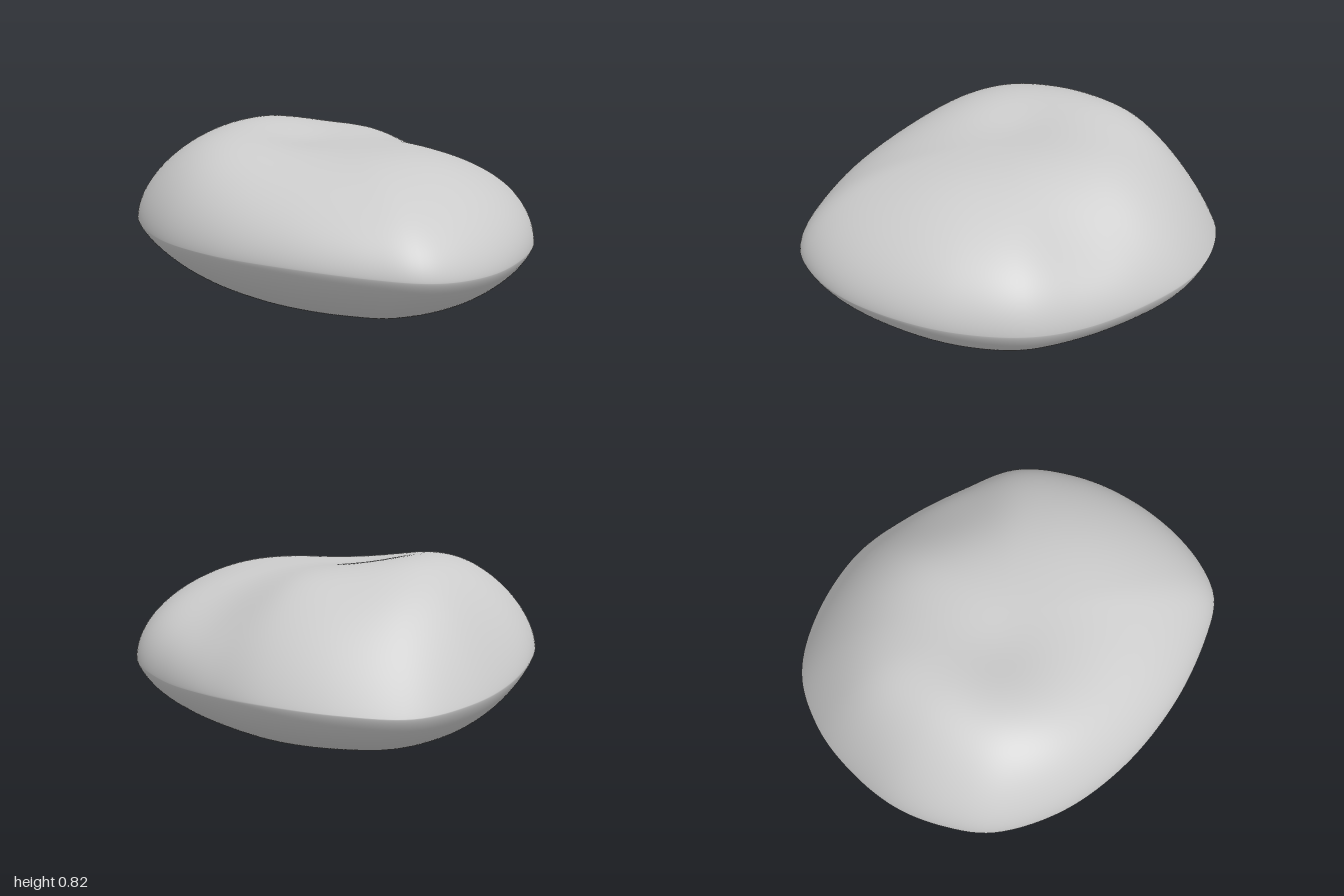
import * as THREE from 'three';
import { mergeVertices } from 'three/addons/utils/BufferGeometryUtils.js';

// Widest outline of the stone as [x, y, z], from the back round through +x
const OUTLINE = [
  [-0.1, 0.24, -1], [0.2, 0.255, -0.935], [0.5, 0.275, -0.75], [0.69, 0.275, -0.5],
  [0.835, 0.28, -0.21], [0.92, 0.315, 0.06], [0.875, 0.33, 0.35], [0.755, 0.34, 0.6],
  [0.565, 0.345, 0.825], [0.36, 0.36, 0.96], [0.2, 0.375, 1], [0, 0.385, 0.945],
  [-0.32, 0.395, 0.78], [-0.62, 0.39, 0.53], [-0.83, 0.385, 0.235], [-0.925, 0.395, -0.08],
  [-0.895, 0.4, -0.3], [-0.8, 0.37, -0.52], [-0.61, 0.305, -0.74], [-0.38, 0.265, -0.91],
];

// Blends one value per side smoothly round the stone
function bySide(x, z, { left, right, front, back }) {
  const r2 = x * x + z * z;
  return ((x > 0 ? left : right) * x * x + (z > 0 ? front : back) * z * z) / r2;
}

const TOP_POWER = { left: 2.8, right: 3.4, front: 2.8, back: 3.8 };
const TOP_ROUND = { left: 0.55, right: 0.55, front: 0.6, back: 0.95 };
const BASE_POWER = { left: 3.5, right: 2.2, front: 2.4, back: 4.8 };
const BASE_ROUND = 0.75;
const CROWN = 0.755;

// Swells and hollows of the upper face as [height, x, z, radius]
const RELIEF = [
  [0.072, -0.39, -0.34, 0.4], // main shoulder
  [0.05, -0.3, -0.66, 0.28], // back shoulder
  [0.05, -0.66, 0.1, 0.36], // right shoulder
  [0.02, 0.25, -0.42, 0.25], // back plateau
  [0.02, 0.33, 0.35, 0.3], // front plateau
  [-0.025, -0.18, -0.06, 0.2], // dimple
  [-0.065, 0.66, -0.28, 0.28], // left hollow
];
const relief = (x, z) => RELIEF.reduce((sum, [h, cx, cz, r]) =>
  sum + h * Math.exp(-((x - cx) ** 2 + (z - cz) ** 2) / (r * r)), 0);

function stoneGeometry(rings = 96, segments = 160) {
  const curve = new THREE.CatmullRomCurve3(
    OUTLINE.map((p) => new THREE.Vector3(...p)), true);
  const rim = curve.getSpacedPoints(segments).slice(0, segments);
  const positions = [];
  const index = [];

  // Rings run from the crown out to the rim, then in to the middle of the base
  for (let i = 0; i <= rings; i++) {
    const t = i === rings ? 0 : Math.sin((Math.PI * i) / rings);
    const isTop = i <= rings / 2;
    for (const p of rim) {
      const x = p.x * t, z = p.z * t;
      let y;
      if (isTop) {
        const inner = Math.max(0, 1 - t ** bySide(p.x, p.z, TOP_POWER));
        y = p.y + (CROWN - p.y) * inner ** bySide(p.x, p.z, TOP_ROUND);
        y += relief(x, z) * (1 - t ** 7);
      } else {
        const inner = Math.max(0, 1 - t ** bySide(p.x, p.z, BASE_POWER));
        y = p.y * (1 - inner ** BASE_ROUND);
      }
      positions.push(x, y, z);
    }
  }
  for (let i = 0; i < rings; i++) {
    for (let j = 0; j < segments; j++) {
      const k = (j + 1) % segments;
      const a = i * segments + j, b = a + segments;
      const d = i * segments + k, c = d + segments;
      if (i < rings - 1) index.push(a, c, b);
      if (i > 0) index.push(a, d, c);
    }
  }
  const geometry = new THREE.BufferGeometry();
  geometry.setAttribute('position', new THREE.Float32BufferAttribute(positions, 3));
  geometry.setIndex(index);
  const merged = mergeVertices(geometry, 1e-5);
  merged.computeVertexNormals();
  return merged;
}

export function createModel() {
  const group = new THREE.Group();
  group.name = 'pebble';
  const stone = new THREE.Mesh(
    stoneGeometry(), new THREE.MeshStandardMaterial({ color: 0xcccccc }));
  stone.name = 'stone';
  group.add(stone);
  return group;
}
